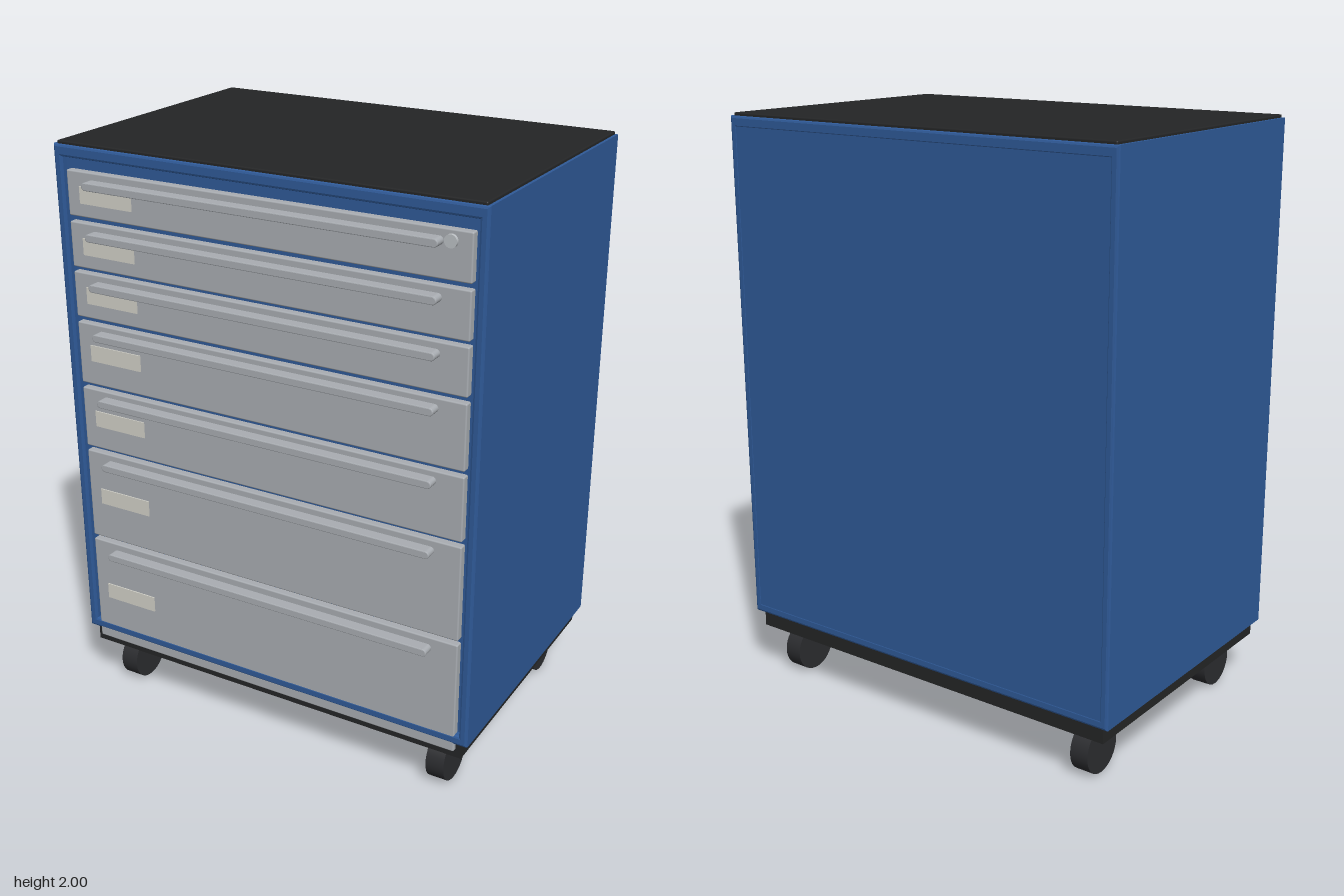
import * as THREE from 'three';
import { RoundedBoxGeometry } from 'three/addons/geometries/RoundedBoxGeometry.js';

const paint = (color) => new THREE.MeshStandardMaterial({ color });
const BLUE = paint(0x2f5a98), STEEL = paint(0xa9adb2), BLACK = paint(0x242526);
const RUBBER = paint(0x2c2d30), PAPER = paint(0xd2d1c8), CHROME = paint(0xbcc0c4);

const FRONT = 0.487; // z of the drawer fronts

// drawer: [bottom, top, handle height, label height]
const DRAWERS = [
  [1.764, 1.912, 1.876, 1.837],
  [1.594, 1.745, 1.71, 1.668],
  [1.424, 1.578, 1.543, 1.503],
  [1.19, 1.405, 1.373, 1.303],
  [0.957, 1.172, 1.14, 1.067],
  [0.612, 0.94, 0.905, 0.775],
  [0.2, 0.597, 0.56, 0.4],
];

export function createModel() {
  const root = new THREE.Group();
  const add = (name, geometry, material, x = 0, y = 0, z = 0, parent = root) => {
    const mesh = new THREE.Mesh(geometry, material);
    mesh.name = name;
    mesh.position.set(x, y, z);
    parent.add(mesh);
    return mesh;
  };
  // box given by its limits, optionally with rounded edges
  const block = (name, material, [x0, x1], [y0, y1], [z0, z1], r = 0, parent = root) => {
    const s = [x1 - x0, y1 - y0, z1 - z0];
    const g = r ? new RoundedBoxGeometry(...s, 2, r) : new THREE.BoxGeometry(...s);
    return add(name, g, material, (x0 + x1) / 2, (y0 + y1) / 2, (z0 + z1) / 2, parent);
  };

  // cabinet shell: a frame running front to back, with softened edges
  const rect = (path, x, y0, y1) =>
    path.moveTo(-x, y0).lineTo(x, y0).lineTo(x, y1).lineTo(-x, y1).closePath();
  const outline = rect(new THREE.Shape(), 0.75, 0.23, 1.99);
  outline.holes.push(rect(new THREE.Path(), 0.72, 0.264, 1.95));
  const bevel = 0.008;
  const shell = new THREE.ExtrudeGeometry(outline, {
    depth: 1.008 - 2 * bevel, bevelThickness: bevel, bevelSize: bevel,
    bevelOffset: -bevel, bevelSegments: 2,
  });
  add('cabinetShell', shell, BLUE, 0, 0, -0.52 + bevel);

  // recessed carcass behind the drawers, closing the back
  block('carcass', BLUE, [-0.735, 0.735], [0.25, 1.965], [-0.519, 0.462]);
  block('topMat', BLACK, [-0.74, 0.74], [1.975, 2], [-0.512, 0.48], 0.005);
  block('baseTray', BLACK, [-0.725, 0.725], [0.172, 0.235], [-0.5, 0.472]);

  // full-width handle bar with rounded ends
  const hr = 0.013, hx = 0.617 - hr;
  const bar = new THREE.Shape();
  bar.absarc(hx, 0, hr, -Math.PI / 2, Math.PI / 2);
  bar.absarc(-hx, 0, hr, Math.PI / 2, Math.PI * 1.5);
  const handleGeometry = new THREE.ExtrudeGeometry(bar, {
    depth: 0.036, bevelThickness: 0.003, bevelSize: 0.003, bevelOffset: -0.003,
    bevelSegments: 2, curveSegments: 10,
  });

  // drawers with handle and label
  DRAWERS.forEach(([y0, y1, handleY, labelY], i) => {
    const drawer = new THREE.Group();
    drawer.name = `drawer${i + 1}`;
    root.add(drawer);
    block('drawerFront', STEEL, [-0.705, 0.705], [y0, y1], [0.455, FRONT], 0.005, drawer);
    add('handle', handleGeometry, STEEL, -0.002, handleY, FRONT - 0.001, drawer);
    block('label', PAPER, [-0.655, -0.455], [labelY - 0.028, labelY + 0.028],
      [FRONT - 0.005, FRONT + 0.004], 0, drawer);
  });

  // lock on the top drawer
  const lock = new THREE.CylinderGeometry(0.02, 0.02, 0.02, 24).rotateX(Math.PI / 2);
  add('lock', lock, CHROME, 0.64, 1.88, FRONT);

  // casters
  const wheel = new THREE.CylinderGeometry(0.084, 0.084, 0.065, 32).rotateZ(Math.PI / 2);
  const plate = new THREE.BoxGeometry(0.12, 0.012, 0.12);
  for (const x of [-0.62, 0.62]) {
    for (const z of [-0.39, 0.36]) {
      const caster = new THREE.Group();
      caster.name = 'caster';
      caster.position.set(x, 0, z);
      root.add(caster);
      add('wheel', wheel, RUBBER, 0, 0.084, 0, caster);
      add('mountPlate', plate, BLACK, 0, 0.17, 0, caster);
    }
  }
  return root;
}
